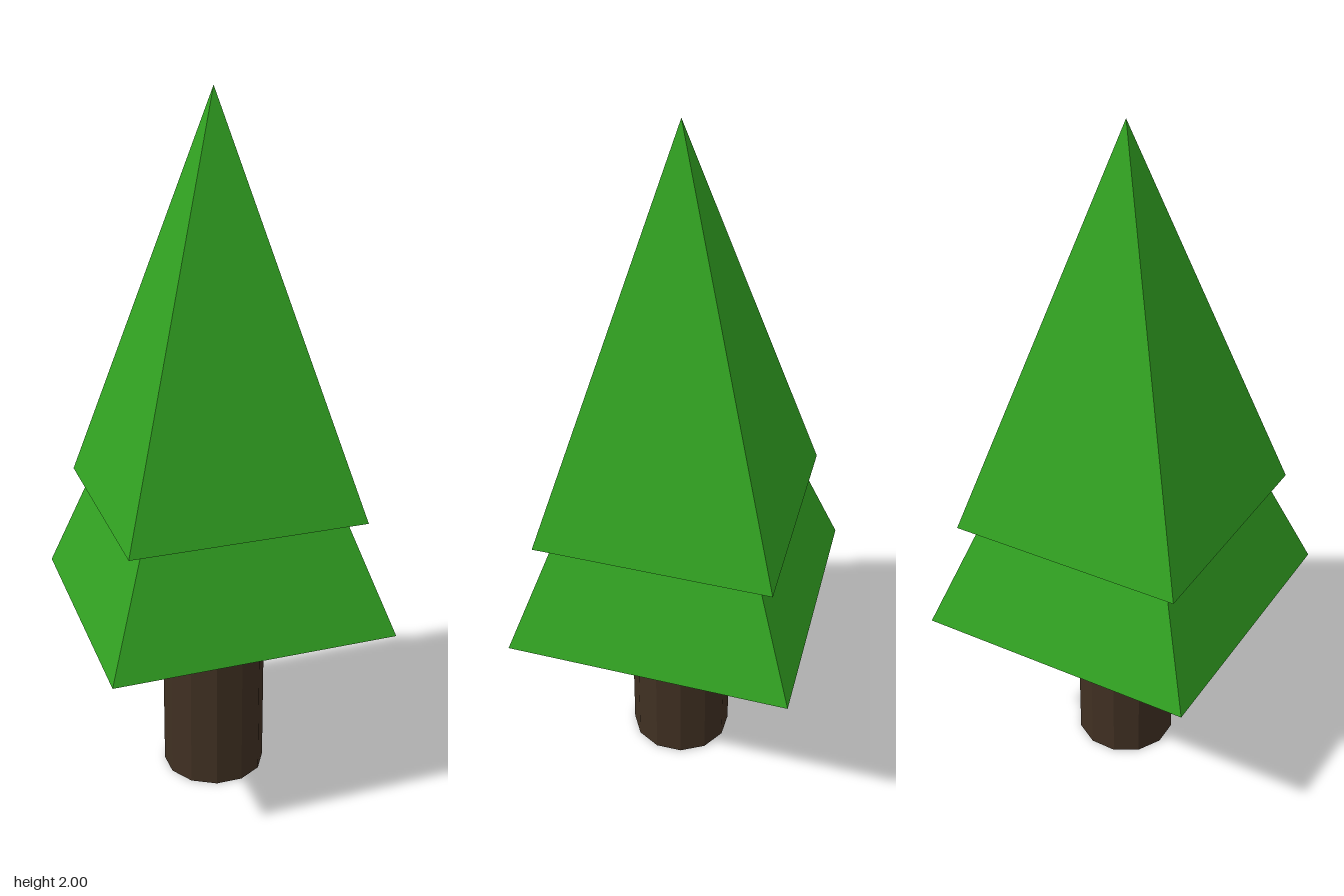
import * as THREE from 'three';

export function createModel() {
  const tree = new THREE.Group();
  tree.name = 'tree';
  const green = new THREE.MeshStandardMaterial({ color: 0x32a322, flatShading: true });
  const brown = new THREE.MeshStandardMaterial({ color: 0x403022, flatShading: true });

  // Trunk, running up into the lower foliage
  const trunkHeight = 0.7;
  const trunk = new THREE.Mesh(new THREE.CylinderGeometry(0.15, 0.15, trunkHeight, 12), brown);
  trunk.name = 'trunk';
  trunk.position.y = trunkHeight / 2;
  tree.add(trunk);

  // Two four-sided foliage pyramids, corners on the axes, slightly deeper than wide
  const tierHeight = 1.13;
  const tiers = [
    { name: 'lowerFoliage', base: 0.55, rx: 0.562, rz: 0.587 },
    { name: 'upperFoliage', base: 0.87, rx: 0.468, rz: 0.489 },
  ];
  for (const { name, base, rx, rz } of tiers) {
    const geometry = new THREE.ConeGeometry(1, tierHeight, 4);
    geometry.scale(rx, 1, rz);
    const tier = new THREE.Mesh(geometry, green);
    tier.name = name;
    tier.position.y = base + tierHeight / 2;
    tree.add(tier);
  }
  return tree;
}
